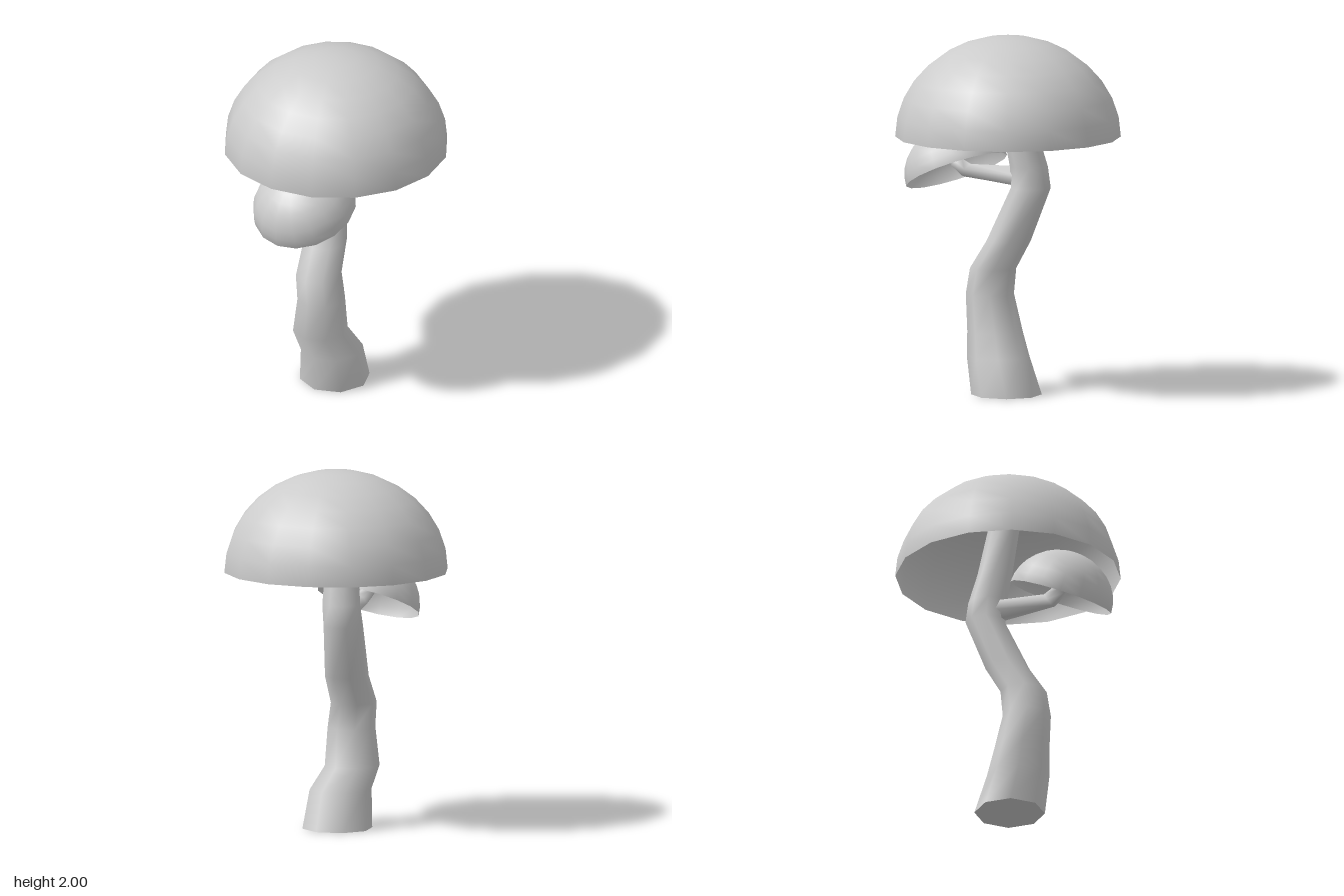
import * as THREE from 'three';

const material = new THREE.MeshStandardMaterial({ color: 0xcccccc, side: THREE.DoubleSide });

// Smooth skin over circular rings [x, y, z, radius, axis], with flat end discs
function loft(name, rings, sides) {
  const pos = [], index = [];
  const up = new THREE.Vector3(0, 1, 0);
  const addRing = ([x, y, z, r, axis = [0, 1, 0]]) => {
    const start = pos.length / 3;
    const q = new THREE.Quaternion().setFromUnitVectors(up, new THREE.Vector3(...axis).normalize());
    for (let j = 0; j < sides; j++) {
      const a = (j / sides) * Math.PI * 2;
      const p = new THREE.Vector3(Math.cos(a) * r, 0, Math.sin(a) * r).applyQuaternion(q);
      pos.push(p.x + x, p.y + y, p.z + z);
    }
    return start;
  };
  const starts = rings.map(addRing);
  for (let i = 0; i < starts.length - 1; i++) {
    for (let j = 0; j < sides; j++) {
      const k = (j + 1) % sides, a = starts[i], b = starts[i + 1];
      index.push(a + j, b + j, a + k, a + k, b + j, b + k);
    }
  }
  // End discs use their own vertices so their edges stay sharp
  [rings[0], rings[rings.length - 1]].forEach((ring, end) => {
    const s = addRing(ring);
    for (let j = 1; j < sides - 1; j++) {
      if (end) index.push(s, s + j + 1, s + j);
      else index.push(s, s + j, s + j + 1);
    }
  });
  const geometry = new THREE.BufferGeometry();
  geometry.setAttribute('position', new THREE.Float32BufferAttribute(pos, 3));
  geometry.setIndex(index);
  geometry.computeVertexNormals();
  const mesh = new THREE.Mesh(geometry, material);
  mesh.name = name;
  return mesh;
}

// Hollow, slightly flattened half dome, open underneath
function dome(name, radius, height) {
  const geometry = new THREE.SphereGeometry(radius, 16, 8, 0, Math.PI * 2, 0, Math.PI / 2);
  geometry.scale(1, height / radius, 1);
  const mesh = new THREE.Mesh(geometry, material);
  mesh.name = name;
  return mesh;
}

export function createModel() {
  const group = new THREE.Group();
  group.name = 'mushroom';

  // Winding main stem, reaching up inside the large cap
  group.add(loft('stem', [
    [-0.005, 0, 0, 0.195],
    [-0.055, 0.21, 0.015, 0.173],
    [-0.115, 0.34, -0.02, 0.153],
    [-0.135, 0.55, 0, 0.133],
    [-0.13, 0.69, -0.02, 0.128],
    [-0.033, 0.85, -0.045, 0.122],
    [0.08, 1.15, -0.105, 0.11],
    [0.08, 1.27, -0.09, 0.105],
    [0.043, 1.44, -0.068, 0.096],
    [0.0, 1.76, -0.03, 0.085],
  ], 8));

  // Side branch that bends up into the small cap
  group.add(loft('branch', [
    [0.06, 1.21, -0.09, 0.066, [-1, 0.04, 0.4]],
    [-0.265, 1.228, 0.045, 0.046, [-0.83, 0.5, 0.2]],
    [-0.335, 1.265, 0.05, 0.042, [-0.6, 0.8, 0.05]],
    [-0.42, 1.36, 0.035, 0.036, [-0.42, 0.91, 0]],
  ], 6));

  // Large cap
  const largeCap = dome('largeCap', 0.623, 0.56);
  largeCap.position.set(0.007, 1.44, 0);
  group.add(largeCap);

  // Small cap, leaning outward
  const smallCap = dome('smallCap', 0.292, 0.262);
  smallCap.position.set(-0.35, 1.218, 0.045);
  smallCap.rotation.z = 0.433;
  group.add(smallCap);

  return group;
}
